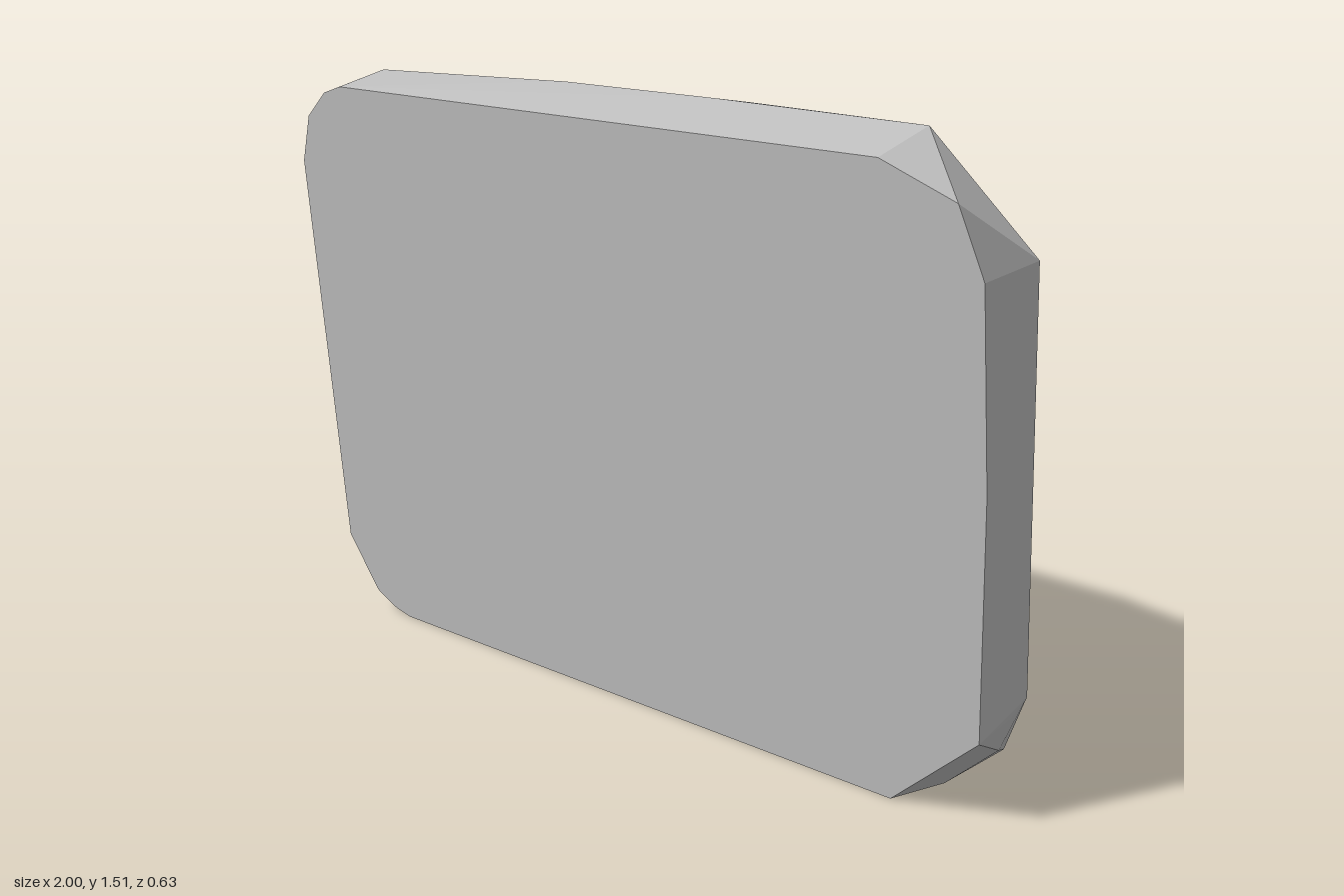
import * as THREE from 'three';
import { ConvexGeometry } from 'three/addons/geometries/ConvexGeometry.js';

export function createModel() {
  const group = new THREE.Group();
  group.name = 'stoneSlab';
  const stone = new THREE.MeshStandardMaterial({ color: 0xc0c0c0, flatShading: true });
  stone.name = 'grey stone';

  // Flat front face: an outline laid on a slightly tilted plane
  const frontOutline = [
    [-1, 0.2], [-0.91, 0.05], [-0.85, 0.015], [-0.79, 0], [0.76, 0], [0.98, 0.22],
    [0.985, 0.8], [0.97, 1.25], [0.91, 1.4], [0.73, 1.47], [-0.83, 1.475],
    [-0.89, 1.455], [-0.96, 1.39], [-1, 1.27],
  ];
  const front = frontOutline.map(([x, y]) => [x, y, 0.112 + 0.09 * x + 0.088 * y]);

  // Top ridge and the bevel behind it
  const top = [
    [0.75, 1.51, 0.12], [0.2, 1.515, 0.06], [-0.24, 1.515, 0.02], [-0.86, 1.495, -0.03],
    [0.19, 1.485, -0.11], [-0.24, 1.472, -0.17], [-0.75, 1.45, -0.18],
  ];
  // Chipped right-hand end
  const rightEnd = [
    [1, 1.26, 0.11], [1, 0.25, 0.01], [0.99, 0.22, 0.07], [0.95, 0.1, 0], [0.85, 0.025, 0.09],
    [0.97, 0.14, 0.08], [0.82, 0.18, -0.11], [0.86, 0.35, -0.135], [0.75, 0.8, -0.19],
  ];
  // Rounded left-hand end
  const leftEnd = [
    [-0.97, 1.26, -0.1], [-0.91, 1.38, -0.16], [-0.93, 1.2, -0.19], [-0.87, 1.25, -0.25],
    [-0.97, 0.27, -0.09], [-0.93, 0.3, -0.18], [-0.87, 0.3, -0.24], [-0.85, 0.11, -0.1],
  ];
  // Broad back and the underside edge
  const back = [
    [0.6, 1.24, -0.19], [0.48, 0.33, -0.21], [-0.58, 1.25, -0.292], [-0.7, 1.35, -0.262],
    [-0.8, 1.17, -0.29], [-0.7, 0.8, -0.315], [-0.8, 0.5, -0.288], [-0.7, 0.32, -0.295],
    [-0.66, 0.18, -0.275], [-0.45, 0.25, -0.27], [0.27, 0.05, -0.13], [-0.18, 0, -0.08],
  ];

  const points = [...front, ...top, ...rightEnd, ...leftEnd, ...back]
    .map((p) => new THREE.Vector3(...p));
  const slab = new THREE.Mesh(new ConvexGeometry(points), stone);
  slab.name = 'slab';
  group.add(slab);
  return group;
}
